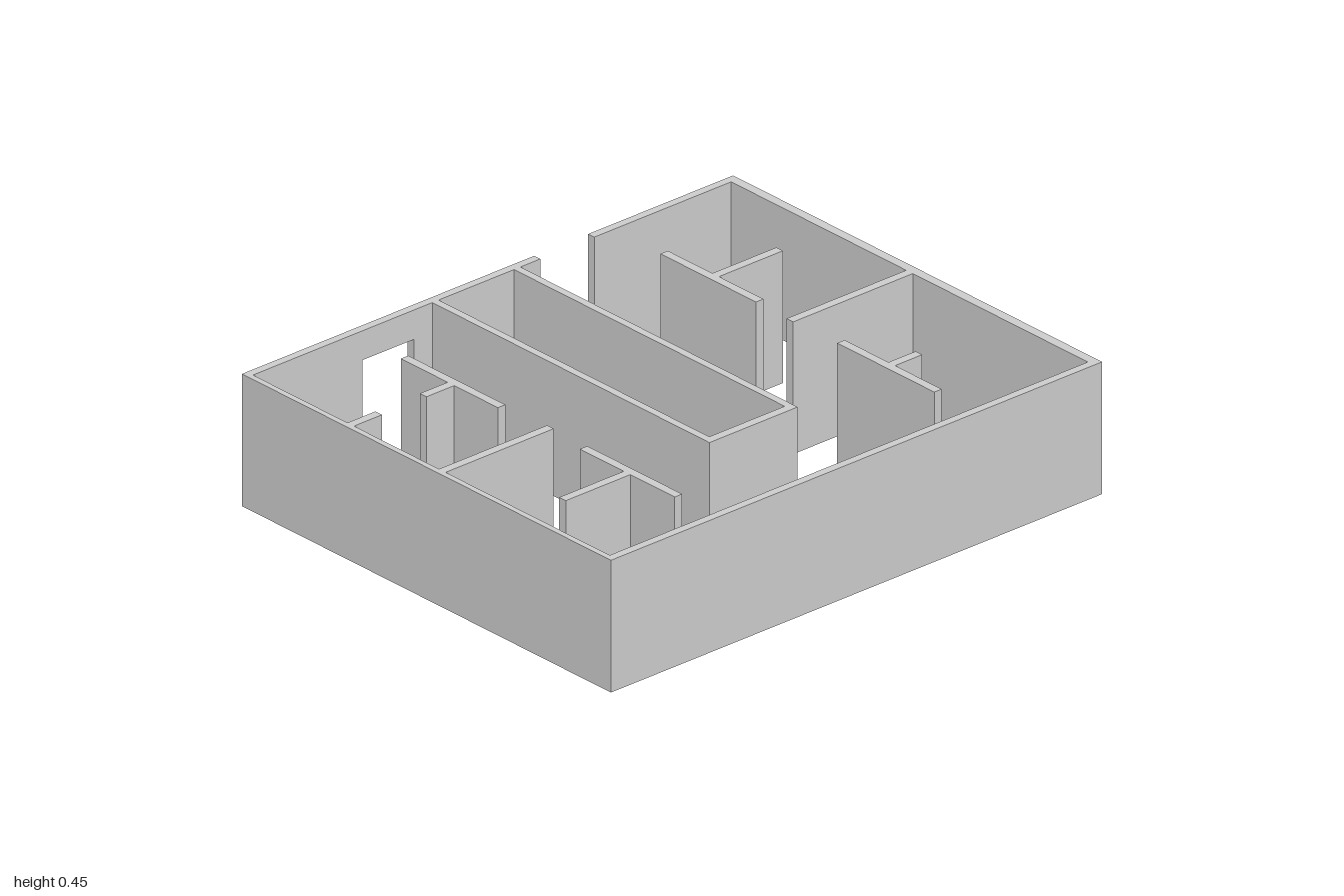
import * as THREE from 'three';

const HEIGHT = 0.45;
const DOOR_HEIGHT = 0.35;

// Walls on plan: [name, xMin, xMax, zMin, zMax]
const WALLS = [
  // outer shell
  ['frontWall', -1, 1, 0.812, 0.84],
  ['leftWall', 0.967, 1, -0.812, 0.812],
  ['rightWall', -1, -0.98, -0.812, 0.812],
  ['backWallLeft', 0.41, 1, -0.84, -0.812],
  ['backWallRight', -1, -0.535, -0.84, -0.812],
  ['backWallMiddle', -0.325, 0.19, -0.84, -0.812],
  // central long room
  ['coreWallRight', -0.25, -0.224, -0.812, 0.42],
  ['coreWallLeft', 0.083, 0.109, -0.812, 0.42],
  ['coreWallFront', -0.25, 0.109, 0.42, 0.45],
  // rooms on the -x side
  ['rightCorridorWallBack', -0.572, -0.542, -0.595, -0.153],
  ['rightCorridorWallFront', -0.572, -0.542, 0.22, 0.652],
  ['rightStubOuter', -0.98, -0.866, -0.382, -0.352],
  ['rightStubInner', -0.685, -0.572, -0.382, -0.352],
  ['rightRoomDivider', -0.98, -0.54, 0.035, 0.065],
  ['rightStubFront', -0.835, -0.572, 0.42, 0.45],
  // rooms on the +x side
  ['leftCorridorWallBack', 0.485, 0.515, -0.595, -0.16],
  ['leftCorridorWallFront', 0.485, 0.515, 0.21, 0.652],
  ['leftStubBack', 0.515, 0.775, -0.392, -0.362],
  ['leftRoomDivider', 0.48, 0.967, -0.015, 0.015],
  ['leftStubFront', 0.515, 0.625, 0.41, 0.44],
];

export function createModel() {
  const group = new THREE.Group();
  group.name = 'floorPlan';
  const material = new THREE.MeshStandardMaterial({ color: 0xcccccc });

  const addWall = (name, x0, x1, z0, z1, y0 = 0, y1 = HEIGHT) => {
    const wall = new THREE.Mesh(new THREE.BoxGeometry(x1 - x0, y1 - y0, z1 - z0), material);
    wall.position.set((x0 + x1) / 2, (y0 + y1) / 2, (z0 + z1) / 2);
    wall.name = name;
    group.add(wall);
  };

  WALLS.forEach((wall) => addWall(...wall));
  // lintel above the doorway in the back wall
  addWall('doorLintel', -0.535, -0.325, -0.84, -0.812, DOOR_HEIGHT, HEIGHT);

  return group;
}
